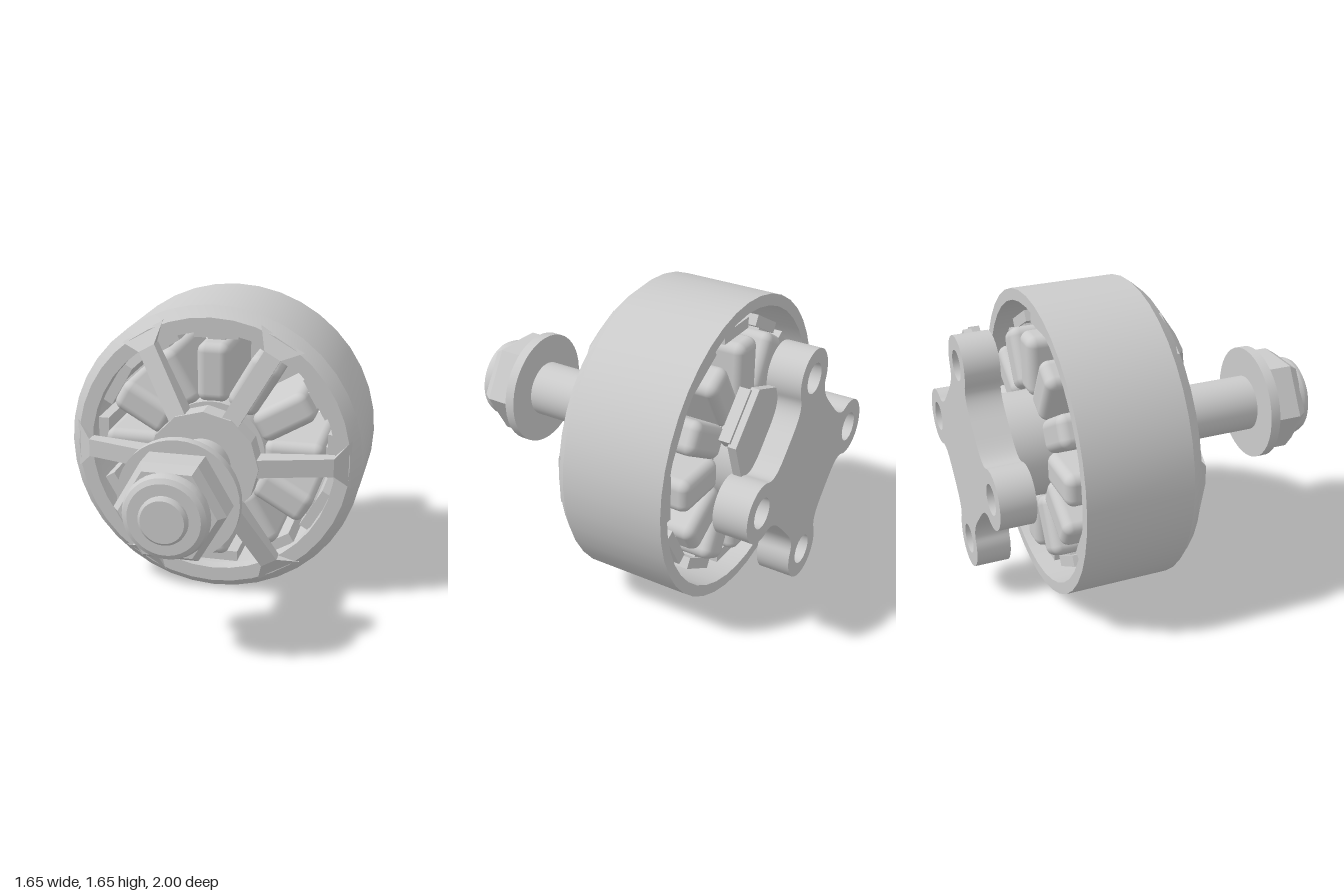
import * as THREE from 'three';
import { toCreasedNormals } from 'three/addons/utils/BufferGeometryUtils.js';
import { RoundedBoxGeometry } from 'three/addons/geometries/RoundedBoxGeometry.js';

const material = new THREE.MeshStandardMaterial({ color: 0xcccccc });
const flatMaterial = new THREE.MeshStandardMaterial({ color: 0xcccccc, flatShading: true });

function add(parent, name, geometry, mat = material) {
  const mesh = new THREE.Mesh(geometry, mat);
  mesh.name = name;
  parent.add(mesh);
  return mesh;
}

// Turned part along z; the profile lists [radius, z] from back to front
function turned(profile, sides = 40, start = 0) {
  const points = profile.map(([r, z]) => new THREE.Vector2(r, z));
  const geometry = new THREE.LatheGeometry(points, sides, start).rotateX(Math.PI / 2);
  return toCreasedNormals(geometry, 0.5);
}

// Solid rod along z
const rod = (r, z0, z1, sides = 40) => turned([[0, z0], [r, z0], [r, z1], [0, z1]], sides);

// Spoke along +x from sections [radius, half width, front z, back z]
function spokeGeometry(sections) {
  const positions = [], index = [];
  for (const [r, w, front, back] of sections) {
    positions.push(r, -w, front, r, w, front, r, w, back, r, -w, back);
  }
  for (let s = 0; s < sections.length - 1; s++) {
    for (let i = 0; i < 4; i++) {
      const a = s * 4 + i, b = s * 4 + (i + 1) % 4;
      index.push(a, a + 4, b, b, a + 4, b + 4);
    }
  }
  const e = positions.length / 3 - 4;
  index.push(0, 1, 2, 0, 2, 3, e, e + 2, e + 1, e, e + 3, e + 2);
  const geometry = new THREE.BufferGeometry();
  geometry.setAttribute('position', new THREE.Float32BufferAttribute(positions, 3));
  geometry.setIndex(index);
  geometry.computeVertexNormals();
  return geometry;
}

// Cross-shaped base with four drilled lugs
function baseShape() {
  const shape = new THREE.Shape();
  const lugAt = 0.51, lugR = 0.155, half = 110 * Math.PI / 180;
  const lx = lugAt + lugR * Math.cos(half), ly = lugR * Math.sin(half);
  for (let i = 0; i < 4; i++) {
    const turn = i * Math.PI / 2;
    const p = (x, y) => {
      const v = new THREE.Vector2(x, y).rotateAround(new THREE.Vector2(), turn);
      return [v.x, v.y];
    };
    if (i === 0) shape.moveTo(...p(lx, -ly));
    const [cx, cy] = p(lugAt, 0);
    shape.absarc(cx, cy, lugR, turn - half, turn + half, false);
    shape.bezierCurveTo(...p(0.38, 0.11), ...p(0.31, 0.19), ...p(0.25, 0.25));
    shape.bezierCurveTo(...p(0.19, 0.31), ...p(0.11, 0.38), ...p(ly, lx));
    const hole = new THREE.Path();
    hole.absarc(cx, cy, 0.08, 0, Math.PI * 2, true);
    shape.holes.push(hole);
  }
  return shape;
}

function extruded(shape, z0, z1) {
  const geometry = new THREE.ExtrudeGeometry(shape, {
    depth: z1 - z0, bevelEnabled: false, curveSegments: 16,
  });
  return toCreasedNormals(geometry.translate(0, 0, z0), 0.5);
}

export function createModel() {
  const model = new THREE.Group();
  model.name = 'motor';
  const motor = new THREE.Group();
  motor.name = 'motorBody';
  motor.position.y = 0.827;
  model.add(motor);

  // Rotating bell: open shell with a chamfered front rim
  add(motor, 'bell', turned([
    [0.827, -0.62], [0.827, -0.05], [0.77, 0.015], [0.69, 0.015],
    [0.69, -0.06], [0.765, -0.06], [0.765, -0.62], [0.827, -0.62],
  ]));

  // Hub and six spokes flaring into the rim
  add(motor, 'hub', rod(0.305, 0.08, 0.205, 12), flatMaterial);
  const spoke = spokeGeometry([
    [0.25, 0.05, 0.205, 0.08], [0.69, 0.05, 0.075, 0],
    [0.775, 0.135, 0.005, -0.05],
  ]);
  for (let i = 0; i < 6; i++) {
    add(motor, 'spoke', spoke, flatMaterial).rotation.z = i * Math.PI / 3;
  }

  // Stator: core, twelve windings and their pole tips
  add(motor, 'statorCore', rod(0.3, -0.6, 0));
  const winding = new RoundedBoxGeometry(0.33, 0.18, 0.645, 4, 0.05).translate(0.455, 0, -0.322);
  const tip = new THREE.BoxGeometry(0.06, 0.25, 0.46).translate(0.66, 0, -0.33);
  const neck = new THREE.BoxGeometry(0.08, 0.1, 0.44).translate(0.62, 0, -0.33);
  for (let i = 0; i < 12; i++) {
    const pole = new THREE.Group();
    pole.name = 'statorPole';
    pole.rotation.z = i * Math.PI / 6;
    add(pole, 'winding', winding);
    add(pole, 'poleTip', tip);
    add(pole, 'poleNeck', neck);
    motor.add(pole);
  }

  // Shaft, washer and lock nut
  add(motor, 'shaft', rod(0.155, -0.1, 0.7));
  add(motor, 'washer', rod(0.318, 0.66, 0.715));
  add(motor, 'nut', turned([
    [0, 0.71], [0.287, 0.71], [0.287, 0.86], [0.25, 0.91], [0, 0.91],
  ], 6, Math.PI / 6), flatMaterial);
  add(motor, 'nutCollar', turned([
    [0.22, 0.89], [0.222, 0.93], [0.21, 0.955], [0.185, 0.97], [0.12, 0.97],
  ]));
  add(motor, 'shaftTip', turned([
    [0.125, 0.9], [0.125, 0.985], [0.11, 1], [0, 1],
  ]));

  // Mounting base
  add(motor, 'baseNeck', rod(0.285, -0.9, -0.58));
  add(motor, 'mountingBase', extruded(baseShape(), -1, -0.815));

  // Wire guard: thin web between two lugs with a raised outer tab
  const web = new THREE.Shape([
    [0.15, 0.15], [0.48, 0.12], [0.56, 0.34], [0.34, 0.56], [0.12, 0.48],
  ].map(([x, y]) => new THREE.Vector2(x, y)));
  add(motor, 'wireGuardWeb', extruded(web, -0.87, -0.825));
  const tab = add(motor, 'wireGuardTab', new THREE.BoxGeometry(0.09, 0.28, 0.06));
  tab.position.set(0.43, 0.43, -0.805);
  tab.rotation.z = Math.PI / 4;

  return model;
}
